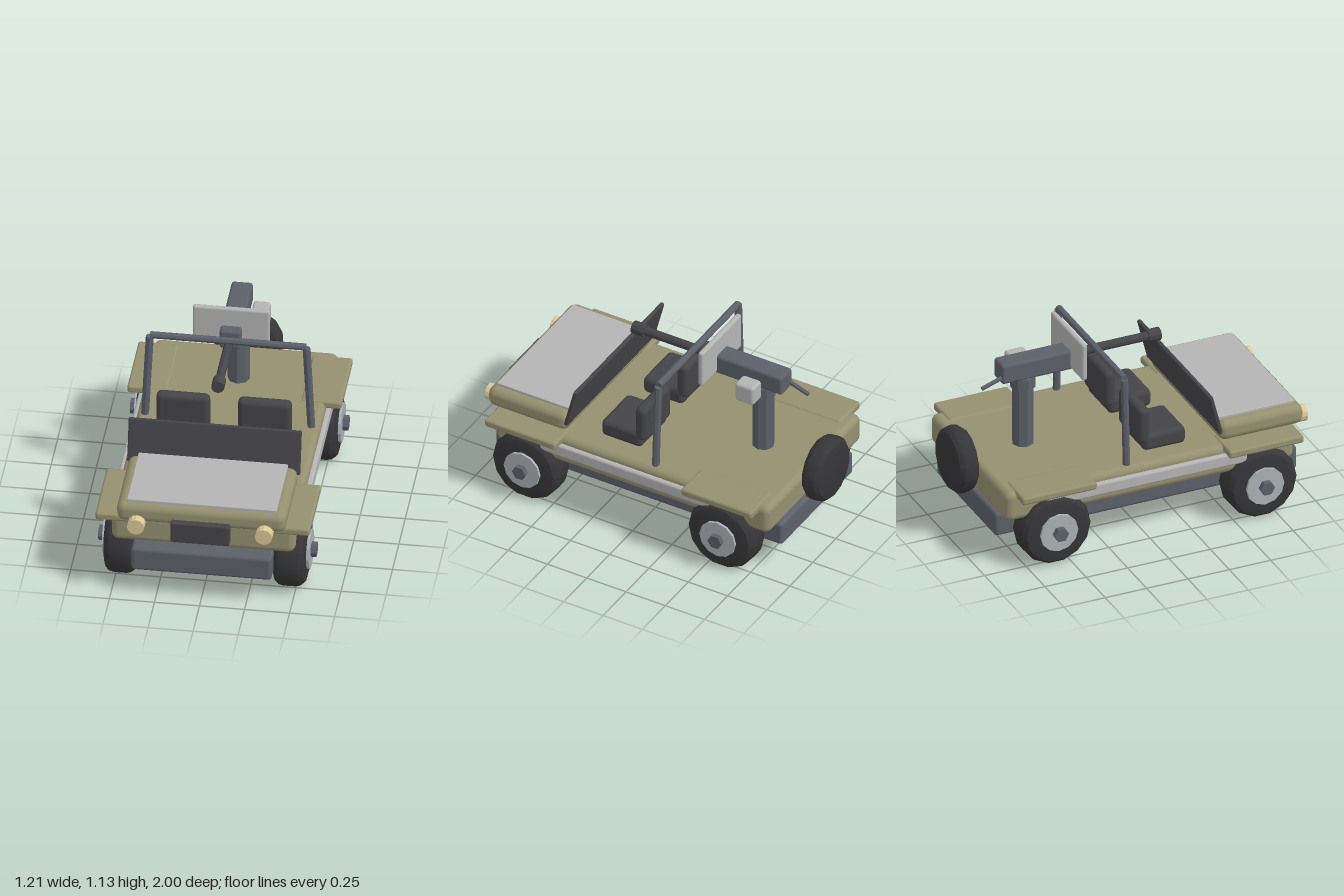
import * as THREE from 'three';
import { RoundedBoxGeometry } from 'three/addons/geometries/RoundedBoxGeometry.js';
import { toCreasedNormals } from 'three/addons/utils/BufferGeometryUtils.js';

const paint = (color, flatShading = false) => new THREE.MeshStandardMaterial({ color, flatShading });
const olive = paint(0x969070);
const slate = paint(0x5c6069), slateFlat = paint(0x5c6069, true);
const dark = paint(0x454448), darkFlat = paint(0x454448, true);
const rubber = paint(0x363638);
const metal = paint(0xb4b4b4), metalFlat = paint(0xaab0b4, true);
const lamp = paint(0xdcc898, true);

export function createModel() {
  const model = new THREE.Group();

  function add(name, geometry, material, parent = model) {
    const mesh = new THREE.Mesh(geometry, material);
    mesh.name = name;
    parent.add(mesh);
    return mesh;
  }

  // Bevelled box given by its limits on each axis
  function box(name, material, [x0, x1], [y0, y1], [z0, z1], radius, parent) {
    const geometry = new RoundedBoxGeometry(x1 - x0, y1 - y0, z1 - z0, 2, radius);
    const mesh = add(name, geometry, material, parent);
    mesh.position.set((x0 + x1) / 2, (y0 + y1) / 2, (z0 + z1) / 2);
    return mesh;
  }

  // Faceted rod between two points
  function rod(name, material, from, to, radius, sides, parent) {
    const a = new THREE.Vector3(...from), b = new THREE.Vector3(...to);
    const dir = b.clone().sub(a);
    const mesh = add(name, new THREE.CylinderGeometry(radius, radius, dir.length(), sides), material, parent);
    mesh.position.copy(a).add(b).multiplyScalar(0.5);
    mesh.quaternion.setFromUnitVectors(new THREE.Vector3(0, 1, 0), dir.normalize());
    return mesh;
  }

  // Tyre with rounded shoulders, turned around the y axis
  function tyreGeometry(radius, width) {
    const h = width / 2;
    const profile = [
      [0, -h], [radius - 0.06, -h], [radius - 0.025, -h + 0.008], [radius - 0.006, -h + 0.03], [radius, -h + 0.055],
      [radius, h - 0.055], [radius - 0.006, h - 0.03], [radius - 0.025, h - 0.008], [radius - 0.06, h], [0, h],
    ].map(([x, y]) => new THREE.Vector2(x, y));
    return toCreasedNormals(new THREE.LatheGeometry(profile, 14), 0.6);
  }

  // Chassis, tub and bonnet
  box('chassis', slate, [-0.39, 0.39], [0.17, 0.315], [-0.885, 0.94], 0.02);
  box('body', olive, [-0.51, 0.51], [0.31, 0.49], [-0.87, 0.87], 0.04);
  box('hood', olive, [-0.47, 0.47], [0.49, 0.61], [0.44, 0.95], 0.045);
  box('hoodPanel', metal, [-0.415, 0.415], [0.6, 0.625], [0.455, 0.915], 0.005);
  box('frontPlate', dark, [-0.163, 0.163], [0.41, 0.535], [0.93, 0.987], 0.008);

  // Windscreen panel, leaning back
  const windscreen = box('windscreen', dark, [-0.48, 0.48], [0.547, 0.803], [0.398, 0.422], 0.008);
  windscreen.rotation.x = -0.25;

  // Parts on both sides
  for (const s of [-1, 1]) {
    const span = (a, b) => (s > 0 ? [a, b] : [-b, -a]);
    box('frontFender', olive, span(0.37, 0.595), [0.45, 0.497], [0.44, 0.89], 0.015);
    box('rearFender', olive, span(0.37, 0.595), [0.45, 0.497], [-0.81, -0.36], 0.015);
    box('sideRail', metal, span(0.49, 0.535), [0.37, 0.447], [-0.64, 0.575], 0.015);
    rod('headlight', lamp, [s * 0.355, 0.498, 0.9], [s * 0.355, 0.498, 1.0], 0.048, 12);

    // Seat
    const seat = new THREE.Group();
    seat.name = 'seat';
    model.add(seat);
    box('seatCushion', dark, span(0.078, 0.376), [0.48, 0.585], [0.02, 0.278], 0.03, seat);
    box('seatBack', dark, span(0.078, 0.376), [0.53, 0.75], [-0.005, 0.065], 0.03, seat);

    // Wheels
    for (const z of [0.665, -0.58]) {
      const wheel = new THREE.Group();
      wheel.name = 'wheel';
      wheel.position.set(s * 0.469, 0.218, z);
      wheel.rotation.z = -s * Math.PI / 2;
      model.add(wheel);
      add('tyre', tyreGeometry(0.213, 0.18), rubber, wheel);
      add('hub', new THREE.CylinderGeometry(0.113, 0.113, 0.21, 12), metalFlat, wheel);
      const cap = add('hubCap', new THREE.CylinderGeometry(0.043, 0.043, 0.06, 6), slateFlat, wheel);
      cap.position.y = 0.106;
    }

    rod('rollBarPost', slateFlat, [s * 0.462, 0.47, -0.125], [s * 0.435, 1.005, -0.125], 0.022, 8);
  }
  rod('rollBarTop', slateFlat, [-0.432, 1.013, -0.125], [0.432, 1.013, -0.125], 0.02, 8);

  // Spare wheel on the tail
  const spare = add('spareWheel', tyreGeometry(0.192, 0.128), rubber);
  spare.position.set(0, 0.475, -0.936);
  spare.rotation.x = Math.PI / 2;

  // Pedestal and mounted gun
  const mount = new THREE.Group();
  mount.name = 'gunMount';
  model.add(mount);
  rod('pedestal', slateFlat, [0, 0.46, -0.54], [0, 0.93, -0.54], 0.062, 8, mount);
  rod('pedestalCollar', slateFlat, [0, 0.85, -0.54], [0, 0.915, -0.54], 0.075, 8, mount);
  box('receiver', slate, [-0.06, 0.06], [0.91, 1.03], [-0.69, -0.19], 0.018, mount);
  rod('barrel', darkFlat, [0, 0.98, -0.22], [0, 0.98, 0.23], 0.025, 10, mount);
  rod('muzzle', darkFlat, [0, 0.98, 0.21], [0, 0.98, 0.285], 0.037, 10, mount);
  box('shield', metal, [-0.215, 0.213], [0.918, 1.143], [-0.278, -0.245], 0.014, mount);
  box('ammoBox', metal, [0.078, 0.175], [0.87, 0.99], [-0.577, -0.457], 0.018, mount);
  rod('handle', slateFlat, [-0.038, 0.955, -0.66], [-0.038, 0.905, -0.805], 0.013, 6, mount);

  return model;
}
